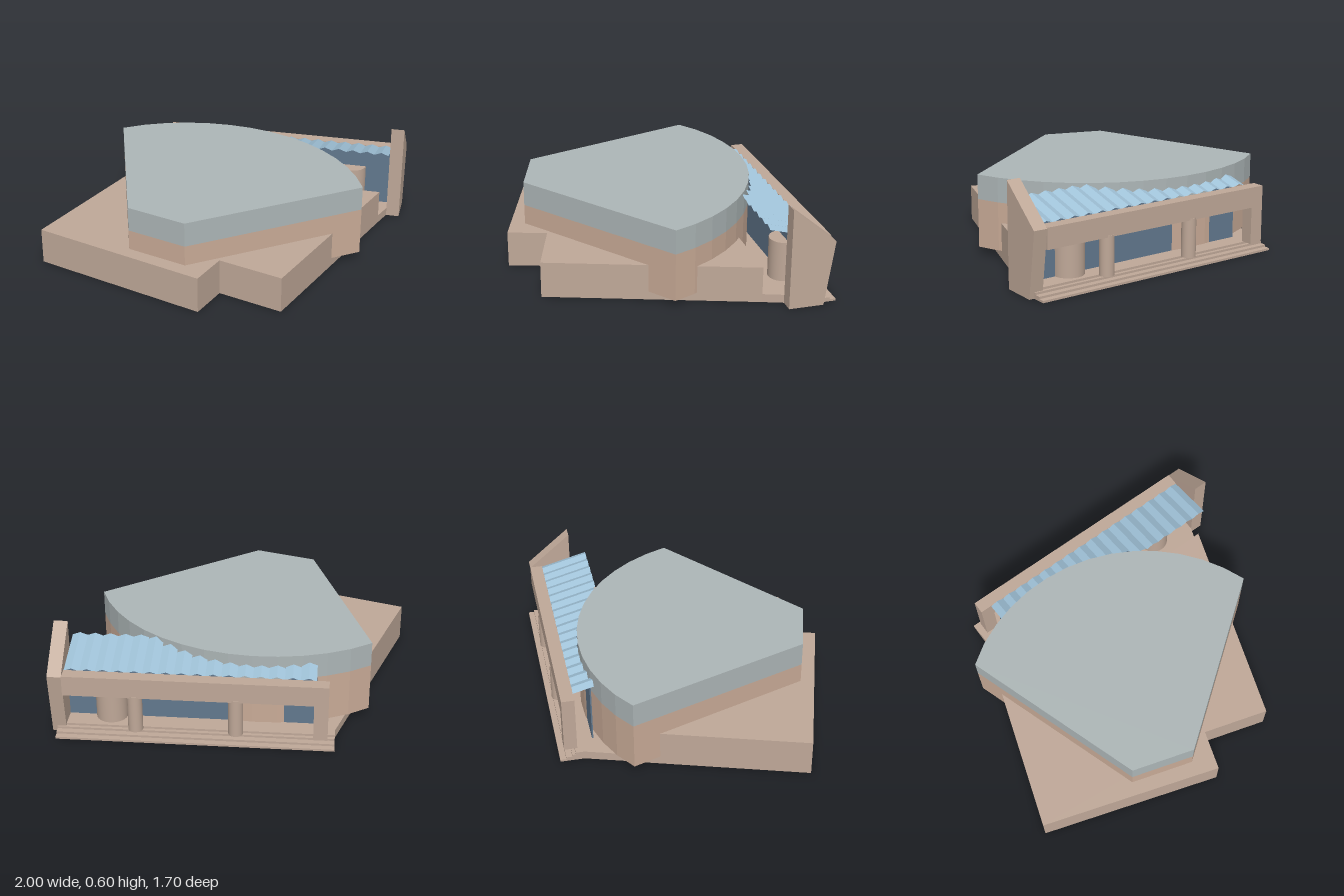
import * as THREE from 'three';

const mat = (name, color, extra = {}) => {
  const m = new THREE.MeshStandardMaterial({ color, ...extra });
  m.name = name;
  return m;
};

export function createModel() {
  const model = new THREE.Group();
  model.name = 'concertHall';
  const stone = mat('sandstone', 0xbfa898);
  const warm = mat('warmStone', 0xc9ab97);
  const grey = mat('greyCladding', 0xadb6b7);
  const glass = mat('darkGlass', 0x62788e, { side: THREE.DoubleSide });
  const blue = mat('blueRoof', 0xa0c2d8, { side: THREE.DoubleSide, flatShading: true });

  const add = (name, geometry, material) => {
    const mesh = new THREE.Mesh(geometry, material);
    mesh.name = name;
    model.add(mesh);
    return mesh;
  };
  // Box given by its minimum and maximum corners
  const box = (name, material, [x0, y0, z0], [x1, y1, z1]) =>
    add(name, new THREE.BoxGeometry(x1 - x0, y1 - y0, z1 - z0), material)
      .position.set((x0 + x1) / 2, (y0 + y1) / 2, (z0 + z1) / 2);
  // Plan outline of [x, z] points raised from y0 to y1
  const slab = (name, material, plan, y0, y1) => {
    const shape = new THREE.Shape(plan.map(([x, z]) => new THREE.Vector2(x, -z)));
    const g = new THREE.ExtrudeGeometry(shape, { depth: y1 - y0, bevelEnabled: false });
    add(name, g.rotateX(-Math.PI / 2).translate(0, y0, 0), material);
  };
  const column = (name, x, z, r, y0, y1) =>
    add(name, new THREE.CylinderGeometry(r, r, y1 - y0, 32), stone).position.set(x, (y0 + y1) / 2, z);

  // Low block with a notched front, and the thin foyer floor behind it
  const front = [[-1, 0.515], [0.04, 0.85], [0.11, 0.625], [0.49, 0.74], [0.88, -0.445]];
  slab('lowerBlock', stone, [...front, [-0.688, -0.445]], 0, 0.215);
  slab('foyerFloor', stone,
    [[0.4, -0.4], [0.865, -0.4], [0.88, -0.445], [0.92, -0.56], [0.92, -0.76], [-0.6, -0.76], [-0.6, -0.71], [-0.7, -0.4]], 0, 0.05);

  // Fan-shaped hall: straight front walls and a curved back
  const cx = -0.17, cz = 0.4, R = 1.06, a0 = 0.337, a1 = 2.197, n = 14;
  const hall = [[-0.79, -0.455], [-0.425, 0.615], [-0.065, 0.725]];
  for (let i = 0; i < n; i++) {
    const a = a0 + (a1 - a0) * i / n;
    hall.push([cx + R * Math.cos(a), cz - R * Math.sin(a)]);
  }
  slab('hallLowerWall', warm, hall, 0.05, 0.335);
  slab('hallUpperWall', grey, hall, 0.335, 0.48);

  // Entrance steps along the back
  [0.85, 0.815, 0.78].forEach((z, i) =>
    box('entranceStep', stone, [-0.6, 0, -z], [0.97, 0.0125 * (i + 1), -0.7]));

  // Colonnade: beam, end pier and round columns
  box('beam', stone, [-0.56, 0.27, -0.82], [0.92, 0.39, -0.745]);
  box('endPier', stone, [-0.56, 0.05, -0.82], [-0.48, 0.27, -0.745]);
  [0.52, -0.045].forEach(x => column('column', x, -0.783, 0.042, 0.05, 0.28));
  column('entranceDrum', 0.675, -0.645, 0.09, 0.05, 0.29);

  // Glass wall of the foyer
  box('glassWall', glass, [-0.49, 0.05, -0.649], [0.92, 0.405, -0.641]);

  // Tapered fin wall beside the entrance, profile in [z, y]
  const fin = new THREE.Shape([[-0.56, 0], [-0.765, 0], [-0.82, 0.385], [-0.56, 0.6]]
    .map(([z, y]) => new THREE.Vector2(-z, y)));
  add('finWall', new THREE.ExtrudeGeometry(fin, { depth: 0.08, bevelEnabled: false })
    .rotateY(Math.PI / 2).translate(0.92, 0, 0), stone);

  // Pleated sloping roof, each pleat ending at the curved hall wall
  const pleats = 16, w = 1.41 / pleats, zb = -0.745, pos = [];
  const roofY = z => 0.385 + (z - zb) * 0.265;
  for (let i = 0; i < pleats; i++) {
    const x = -0.49 + i * w;
    const arcZ = cz - Math.sqrt(R * R - (x + w / 2 - cx) ** 2);
    const zf = Math.min(arcZ, -0.46);
    [[x, 0, x + w / 2, 0.016], [x + w / 2, 0.016, x + w, 0]].forEach(([xa, ya, xb, yb]) => {
      const p = [xa, roofY(zb) + ya, zb], q = [xa, roofY(zf) + ya, zf];
      const r = [xb, roofY(zf) + yb, zf], s = [xb, roofY(zb) + yb, zb];
      pos.push(...p, ...q, ...r, ...p, ...r, ...s);
    });
  }
  const roof = new THREE.BufferGeometry();
  roof.setAttribute('position', new THREE.Float32BufferAttribute(pos, 3));
  roof.computeVertexNormals();
  add('pleatedRoof', roof, blue);

  return model;
}
